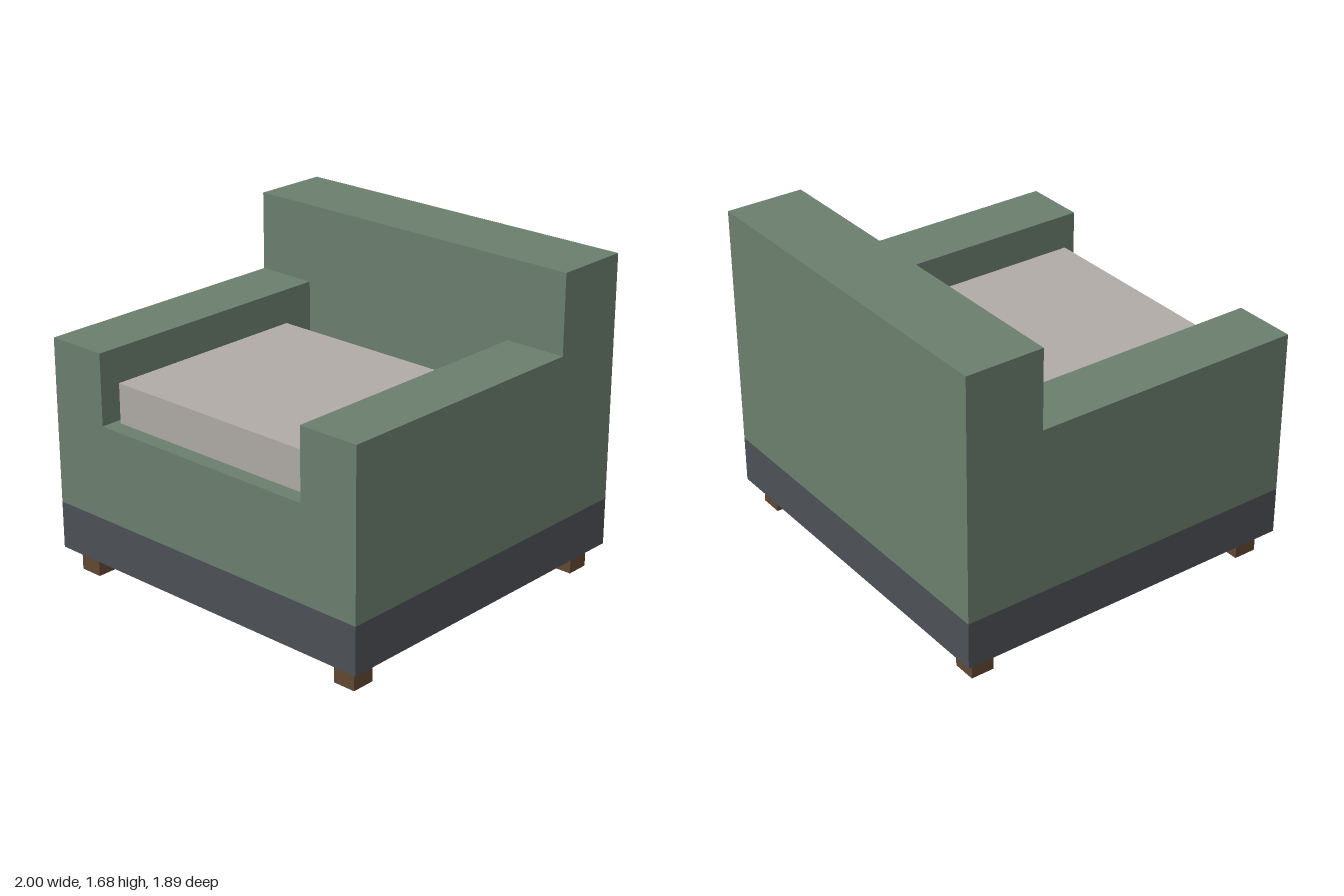
import * as THREE from 'three';

const material = (name, color) => {
  const m = new THREE.MeshStandardMaterial({ color });
  m.name = name;
  return m;
};

export function createModel() {
  const group = new THREE.Group();
  group.name = 'armchair';
  const green = material('green upholstery', 0x6b7f6e);
  const grey = material('dark grey base', 0x4d5056);
  const beige = material('beige cushion', 0xb0aba6);
  const wood = material('brown wood', 0x624832);

  const add = (name, geometry, mat) => {
    const mesh = new THREE.Mesh(geometry, mat);
    mesh.name = name;
    group.add(mesh);
    return mesh;
  };
  // Box given by its lower and upper limits on each axis
  const box = (name, mat, [x0, x1], [y0, y1], [z0, z1]) =>
    add(name, new THREE.BoxGeometry(x1 - x0, y1 - y0, z1 - z0), mat)
      .position.set((x0 + x1) / 2, (y0 + y1) / 2, (z0 + z1) / 2);

  const depth = 0.947, backFront = -0.53;
  const legTop = 0.126, baseTop = 0.379, seatTop = 0.884, armTop = 1.263, backTop = 1.684;
  const armInner = 0.664;

  // Seat and both arms as one U-shaped profile
  const profile = new THREE.Shape([
    [-1, baseTop], [1, baseTop], [1, armTop], [armInner, armTop],
    [armInner, seatTop], [-armInner, seatTop], [-armInner, armTop], [-1, armTop],
  ].map(([x, y]) => new THREE.Vector2(x, y)));
  const seatGeometry = new THREE.ExtrudeGeometry(profile, { depth: depth - backFront, bevelEnabled: false });
  add('seatAndArms', seatGeometry, green).position.z = backFront;

  // Backrest, base and loose cushion
  box('backrest', green, [-1, 1], [baseTop, backTop], [-depth, backFront]);
  box('base', grey, [-1, 1], [legTop, baseTop], [-depth, depth]);
  box('cushion', beige, [-0.63, 0.63], [seatTop, 1.095], [-0.316, 0.86]);

  // Four cube legs
  for (const [side, sx] of [['Left', 1], ['Right', -1]]) {
    for (const [end, sz] of [['front', 1], ['back', -1]]) {
      add(`${end}${side}Leg`, new THREE.BoxGeometry(legTop, legTop, legTop), wood)
        .position.set(sx * 0.873, legTop / 2, sz * 0.822);
    }
  }
  return group;
}
